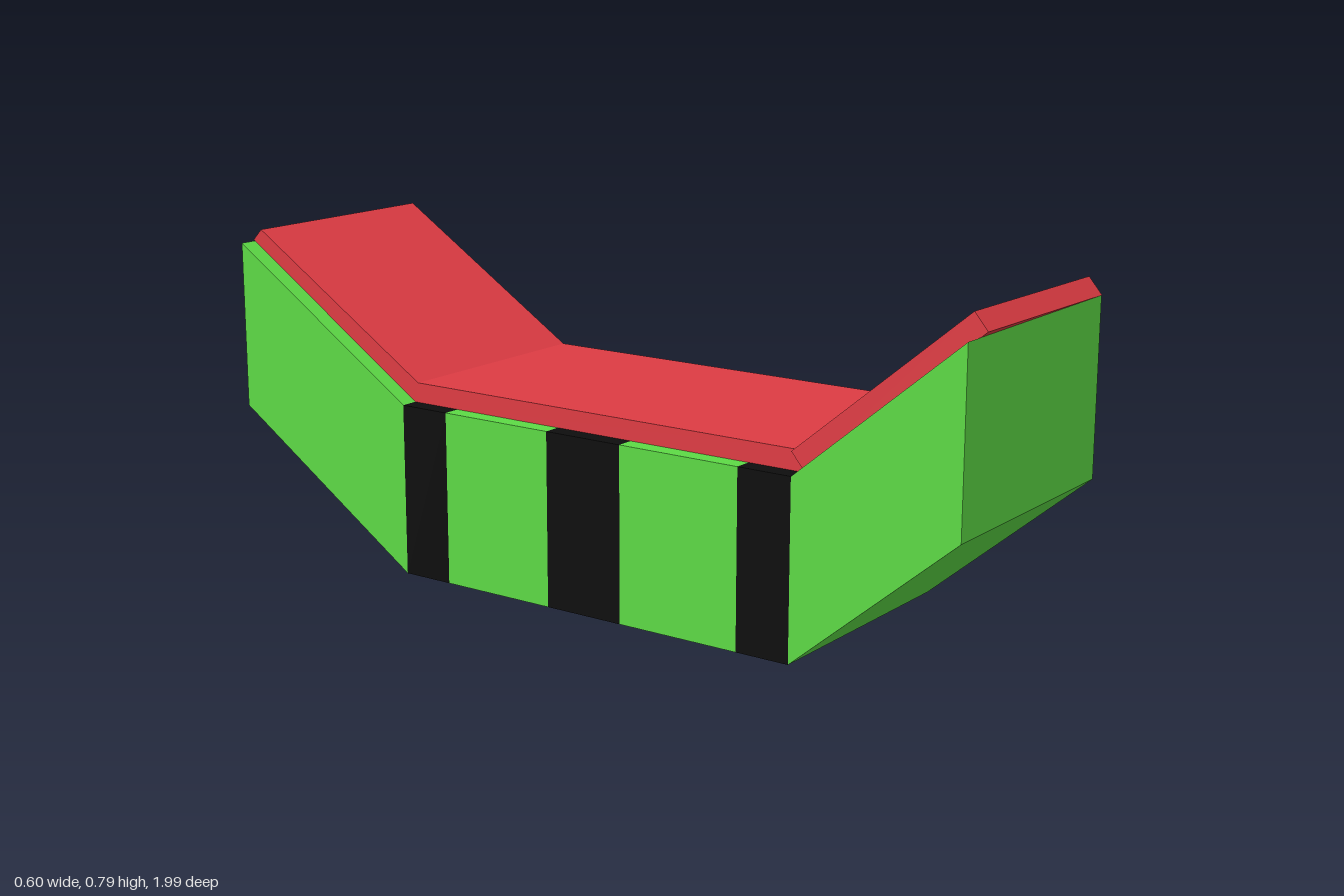
import * as THREE from 'three';

const green = new THREE.MeshStandardMaterial({ color: 0x5cd945, flatShading: true });
const black = new THREE.MeshStandardMaterial({ color: 0x0e0e0e, flatShading: true });
const red = new THREE.MeshStandardMaterial({ color: 0xdd3b43, flatShading: true });

export function createModel() {
  const model = new THREE.Group();

  // Extrudes a side profile of [z, y] points across the width x0..x1
  function slab(name, points, x0, x1, material) {
    const shape = new THREE.Shape(points.map(([z, y]) => new THREE.Vector2(z, y)));
    const geometry = new THREE.ExtrudeGeometry(shape, { depth: x1 - x0, bevelEnabled: false });
    geometry.rotateY(-Math.PI / 2).translate(x1, 0, 0);
    const mesh = new THREE.Mesh(geometry, material);
    mesh.name = name;
    model.add(mesh);
  }

  const left = -0.302, right = 0.297;
  const top = 0.41;

  // Middle of the base: alternating black and green bands
  const cuts = [-0.485, -0.355, -0.06, 0.142, 0.45, 0.582];
  for (let i = 0; i < cuts.length - 1; i++) {
    const a = cuts[i], b = cuts[i + 1];
    const dark = i % 2 === 0;
    slab(dark ? 'blackBand' : 'greenBand', [[a, 0], [b, 0], [b, top], [a, top]],
      left, right, dark ? black : green);
  }

  // Raised ends of the base
  slab('frontRampBase', [[0.582, 0], [0.978, 0.335], [0.978, 0.741], [0.582, top]], left, right, green);
  slab('backRampBase', [[-0.485, 0], [-0.485, top], [-0.998, 0.742], [-0.998, 0.338]], left, right, green);

  // Flat and back cushions
  slab('middleCushion', [[-0.485, top], [0.587, top], [0.587, 0.457], [-0.475, 0.457]], -0.26, 0.29, red);
  slab('backCushion', [[-0.485, top], [-0.475, 0.457], [-0.974, 0.772], [-1, 0.745]], -0.26, 0.29, red);

  // Front cushion, sitting slightly askew on its ramp
  const cushion = new THREE.Mesh(new THREE.BoxGeometry(0.548, 0.049, 0.525), red);
  cushion.name = 'frontCushion';
  cushion.position.set(0.016, 0.597, 0.769);
  cushion.rotation.set(-0.7, 0.035, 0);
  model.add(cushion);

  return model;
}
